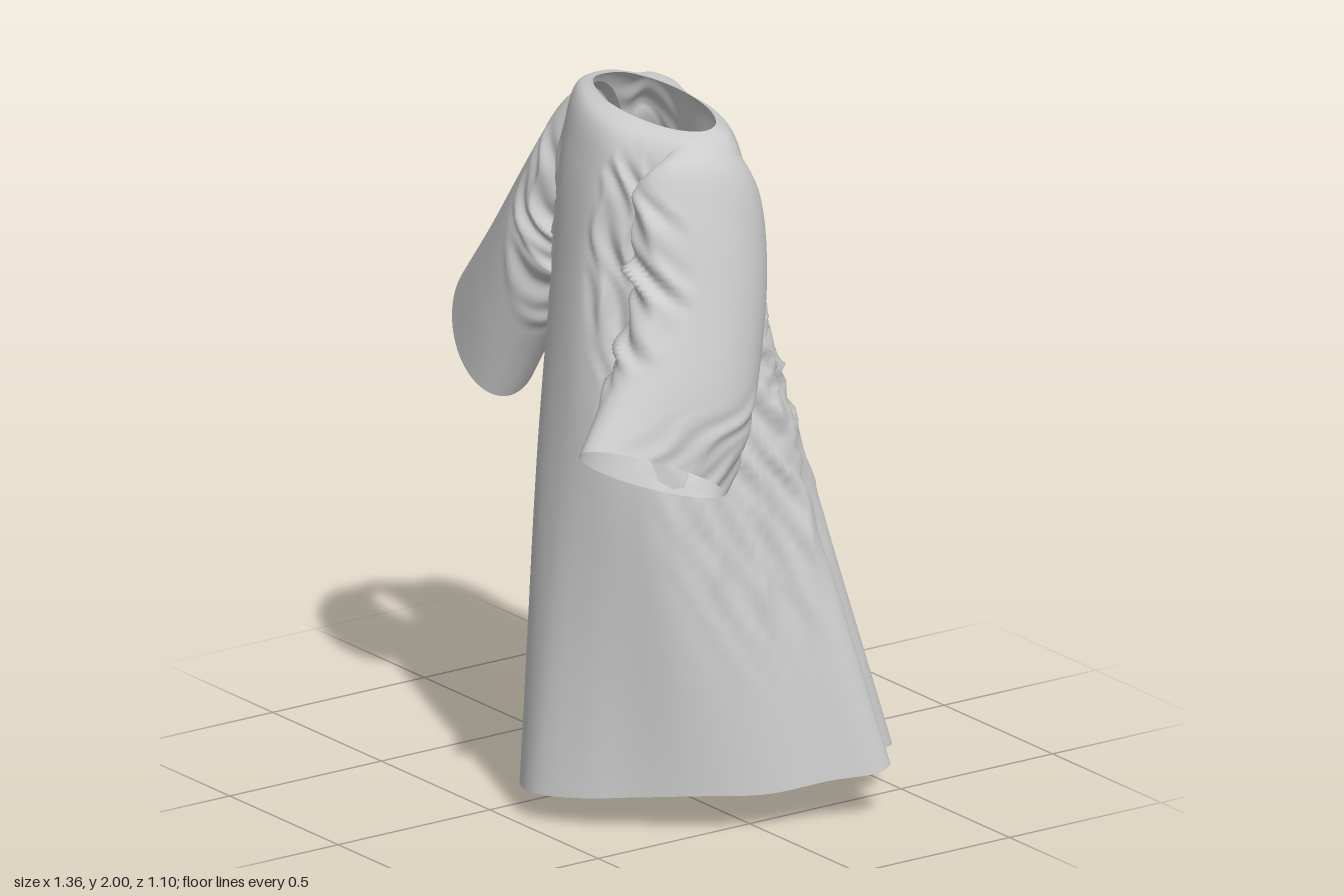
import * as THREE from 'three';

const V = (p) => new THREE.Vector3(...p);
const material = new THREE.MeshStandardMaterial({ color: 0xcccccc, side: THREE.DoubleSide });

// Smooth surface through closed rings of equal point count, listed from bottom to top;
// cells where cut(x, y, z) is true are left open
function loft(rings, rows, cols, cut = () => false) {
  const loops = rings.map((r) => new THREE.CatmullRomCurve3(r, true, 'centripetal'));
  const pos = [], index = [];
  for (let j = 0; j < cols; j++) {
    const column = new THREE.CatmullRomCurve3(loops.map((l) => l.getPoint(j / cols)), false, 'centripetal');
    for (let i = 0; i <= rows; i++) pos.push(...column.getPoint(i / rows).toArray());
  }
  const at = (i, j) => (j % cols) * (rows + 1) + i;
  for (let j = 0; j < cols; j++) {
    for (let i = 0; i < rows; i++) {
      const k = at(i, j);
      if (cut(...pos.slice(k * 3, k * 3 + 3))) continue;
      index.push(k, at(i, j + 1), at(i + 1, j + 1), k, at(i + 1, j + 1), at(i + 1, j));
    }
  }
  const g = new THREE.BufferGeometry();
  g.setAttribute('position', new THREE.Float32BufferAttribute(pos, 3));
  g.setIndex(index);
  g.computeVertexNormals();
  return g;
}

// Gathered cloth: sharp creases that fade with distance from each pinch {c, r, amp, dir}
function crease(g, pinches) {
  const p = g.attributes.position, n = g.attributes.normal, v = new THREE.Vector3();
  for (let i = 0; i < p.count; i++) {
    v.fromBufferAttribute(p, i);
    let d = 0;
    for (const { c, r, amp, dir } of pinches) {
      const q = v.clone().sub(V(c)).divide(V(r)).length();
      if (q >= 1) continue;
      const s = v.dot(V(dir));
      const warp = 0.9 * Math.sin(9 * v.y + 5 * v.x) + 0.6 * Math.sin(23 * v.y - 17 * v.z);
      const fold = 0.6 - Math.abs(Math.sin(38 * s + warp));
      const small = 0.3 * Math.sin(90 * s + 31 * v.y + 2 * warp);
      d += amp * (1 - q * q) * (fold + small);
    }
    p.setXYZ(i, v.x + n.getX(i) * d, v.y + n.getY(i) * d, v.z + n.getZ(i) * d);
  }
  g.computeVertexNormals();
  return g;
}

function part(name, geometry) {
  const m = new THREE.Mesh(geometry, material);
  m.name = name;
  return m;
}

// Sleeve: each ring spans edge points a and b, swells by w, its inner half scaled by k
function sleeveRings(list) {
  return list.map(({ a, b, w, k = 1 }) => {
    const A = V(a), B = V(b), W = V(w);
    const mid = A.clone().add(B).multiplyScalar(0.5), half = A.clone().sub(B).multiplyScalar(0.5);
    return Array.from({ length: 16 }, (_, i) => {
      const t = (i / 16) * Math.PI * 2, s = Math.sin(t);
      return mid.clone().addScaledVector(half, Math.cos(t)).addScaledVector(W, s < 0 ? s * k : s);
    });
  });
}

export function createModel() {
  const group = new THREE.Group();
  group.name = 'robe';

  // Robe sections, counter-clockwise from the front centre
  const hem = [
    [0.13, 0.08, 0.455], [0.27, 0.09, 0.39], [0.37, 0.1, 0.29], [0.48, 0.11, 0.17], [0.58, 0.11, 0],
    [0.635, 0.13, -0.17], [0.68, 0.14, -0.3], [0.66, 0.15, -0.35], [0.57, 0.15, -0.36],
    [0.5, 0.14, -0.47], [0.3, 0.14, -0.51], [0.05, 0.13, -0.54], [-0.14, 0.12, -0.55],
    [-0.19, 0.1, -0.46], [-0.15, 0.05, -0.25], [-0.15, 0.005, -0.03], [-0.12, 0.03, 0.2], [0, 0.07, 0.4],
  ].map(V);
  const flat = (y, xz) => xz.map(([x, z]) => new THREE.Vector3(x, y, z));
  const waist = flat(0.95, [
    [0.13, 0.365], [0.25, 0.35], [0.35, 0.31], [0.44, 0.24], [0.47, 0.1], [0.485, -0.06],
    [0.49, -0.15], [0.47, -0.2], [0.41, -0.23], [0.36, -0.29], [0.22, -0.3], [0.05, -0.28],
    [-0.09, -0.32], [-0.15, -0.27], [-0.11, -0.13], [-0.17, 0.02], [-0.15, 0.18], [-0.02, 0.33],
  ]);
  const chest = flat(1.5, [
    [0.13, 0.315], [0.21, 0.3], [0.27, 0.25], [0.33, 0.18], [0.37, 0.1], [0.39, 0.02],
    [0.4, -0.05], [0.38, -0.1], [0.33, -0.14], [0.29, -0.17], [0.2, -0.19], [0.07, -0.17],
    [-0.05, -0.2], [-0.13, -0.15], [-0.13, -0.07], [-0.165, 0.04], [-0.14, 0.16], [-0.03, 0.27],
  ]);
  const tilt = (x) => -0.19 * (x - 0.145);
  const shoulder = chest.map((p) => {
    const x = 0.11 + (p.x - 0.11) * 1.02;
    return new THREE.Vector3(x, 1.81 + tilt(x) * 0.5, 0.06 + (p.z - 0.06) * 0.81);
  });
  // Tilted oval neck opening, each point matched to the chest direction
  const neck = chest.map((p) => {
    const dx = p.x - 0.115, dz = p.z - 0.06;
    const t = Math.atan2((dx * 0.25 + dz * 0.97) / 0.105, (dx * 0.97 - dz * 0.25) / 0.2);
    const a = 0.195 * Math.cos(t), b = 0.108 * Math.sin(t);
    const x = 0.145 + a * 0.97 + b * 0.25;
    return new THREE.Vector3(x, 1.965 + tilt(x), 0.06 - a * 0.25 + b * 0.97);
  });
  const yoke = shoulder.map((p, i) => {
    const q = p.clone().lerp(neck[i], 0.42);
    q.y = 1.928 + tilt(q.x);
    return q;
  });
  // Armholes leave the sleeves open to the inside
  const armhole = (x, y, z) =>
    (x < -0.1 && Math.hypot((y - 1.67) / 0.22, (z - 0.08) / 0.1) < 1) ||
    (x > 0.3 && Math.hypot((y - 1.58) / 0.22, (z - 0.07) / 0.12) < 1);
  const body = loft([hem, waist, chest, shoulder, yoke, neck], 110, 220, armhole);
  group.add(part('robeBody', crease(body, [
    { c: [0.45, 1.05, -0.05], r: [0.25, 0.75, 0.34], amp: 0.022, dir: [0.3, 0.45, -0.8] },
    { c: [0.35, 1.3, -0.18], r: [0.3, 0.4, 0.16], amp: 0.016, dir: [0.3, 0.8, 0.4] },
    { c: [0.27, 1.55, 0.24], r: [0.13, 0.4, 0.14], amp: 0.022, dir: [1, 0.25, -0.4] },
    { c: [-0.16, 1.55, 0.2], r: [0.12, 0.4, 0.13], amp: 0.024, dir: [0.9, 0.1, 0.8] },
    { c: [-0.14, 1.45, -0.1], r: [0.15, 0.6, 0.16], amp: 0.026, dir: [0.9, 0.05, 0.5] },
  ])));

  // Right sleeve, held out to the side
  const right = loft(sleeveRings([
    { a: [-0.685, 1.29, 0.03], b: [-0.35, 1.02, 0.185], w: [0, 0, 0.14] },
    { a: [-0.5, 1.5, 0.05], b: [-0.28, 1.16, 0.165], w: [0, 0, 0.145] },
    { a: [-0.275, 1.79, 0.07], b: [-0.19, 1.31, 0.13], w: [0, 0, 0.145] },
    { a: [-0.175, 1.915, 0.08], b: [-0.14, 1.39, 0.1], w: [0, 0, 0.13] },
    { a: [-0.09, 1.962, 0.08], b: [-0.13, 1.43, 0.09], w: [0, 0, 0.11] },
  ]), 60, 100);
  group.add(part('rightSleeve', crease(right, [
    { c: [-0.14, 1.5, 0.18], r: [0.16, 0.38, 0.2], amp: 0.024, dir: [1, 0.2, 0.3] },
    { c: [-0.14, 1.5, -0.05], r: [0.16, 0.35, 0.15], amp: 0.024, dir: [1, 0.2, 0.3] },
  ])));

  // Left sleeve, flowing off the shoulder, hanging down and bent forward
  const left = loft(sleeveRings([
    { a: [0.49, 1.16, 0.545], b: [0.55, 0.97, 0.12], w: [0.085, 0.045, 0], k: 1.2 },
    { a: [0.44, 1.33, 0.41], b: [0.53, 1.11, 0.04], w: [0.11, 0.045, 0], k: 1.1 },
    { a: [0.38, 1.53, 0.31], b: [0.46, 1.3, -0.05], w: [0.125, 0.06, 0], k: 0.6 },
    { a: [0.33, 1.72, 0.27], b: [0.39, 1.52, -0.12], w: [0.12, 0.09, 0], k: 0.25 },
    { a: [0.31, 1.81, 0.235], b: [0.355, 1.7, -0.125], w: [0.09, 0.1, 0], k: 0.1 },
    { a: [0.32, 1.85, 0.16], b: [0.335, 1.82, -0.085], w: [0.025, 0.08, 0], k: 0.1 },
  ]), 80, 110);
  group.add(part('leftSleeve', crease(left, [
    { c: [0.37, 1.5, 0.3], r: [0.17, 0.36, 0.24], amp: 0.032, dir: [0.6, 0.6, -0.3] },
    { c: [0.52, 1.12, 0.2], r: [0.13, 0.2, 0.3], amp: 0.014, dir: [0.3, 0.7, 0.4] },
  ])));

  return group;
}
